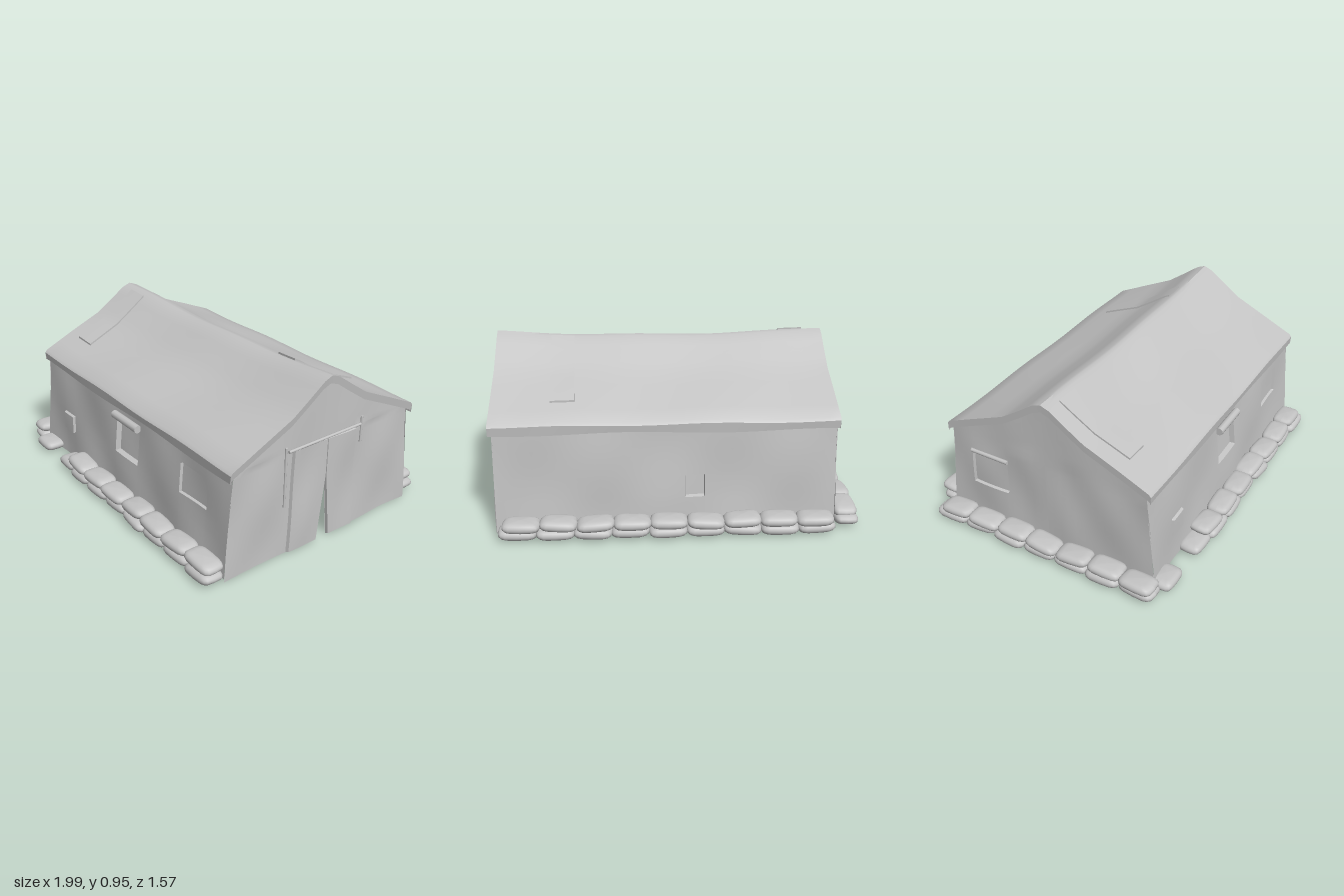
import * as THREE from 'three';
import { toCreasedNormals } from 'three/addons/utils/BufferGeometryUtils.js';

const canvas = new THREE.MeshStandardMaterial({ color: 0xc4c4c4, side: THREE.DoubleSide });
canvas.name = 'grey canvas';

const LEFT = -0.86, RIGHT = 0.968, HALF = 0.605;
const lerp = THREE.MathUtils.lerp;
const range = (a, b, n) => Array.from({ length: n + 1 }, (_, i) => lerp(a, b, i / n));

// Cloth sheet: fn(u, v) gives a point for every pair of grid values
function sheet(name, us, vs, fn, crease = 0.6) {
  const pos = [], idx = [], n = vs.length;
  us.forEach((u, i) => vs.forEach((v, j) => {
    pos.push(...fn(u, v, i, j));
    if (i && j) {
      const d = i * n + j, c = d - 1, b = d - n, a = b - 1;
      idx.push(a, c, d, a, d, b);
    }
  }));
  const g = new THREE.BufferGeometry();
  g.setAttribute('position', new THREE.Float32BufferAttribute(pos, 3));
  g.setIndex(idx);
  const mesh = new THREE.Mesh(toCreasedNormals(g, crease), canvas);
  mesh.name = name;
  return mesh;
}

// Roof section from ridge to eave, with a sagging ridge
const section = [[0, 0.93], [0.05, 0.912], [0.14, 0.85], [0.25, 0.778], [0.45, 0.695], [0.62, 0.622]];
function roofY(x, z) {
  const a = Math.min(Math.abs(z), 0.62);
  const k = Math.max(1, section.findIndex(p => p[0] >= a));
  const [p, q] = [section[k - 1], section[k]];
  const y = lerp(p[1], q[1], (a - p[0]) / (q[0] - p[0]));
  return y + (1 - a / 0.63) * (0.032 * x * x - 0.015) + 0.004 * Math.sin(x * 8 + z * 5);
}

// Walls lean outwards to the ground
const sideZ = y => lerp(0.655, HALF, Math.min(y / 0.6, 1));
const wrinkle = (u, y) => 0.008 * Math.sin(u * 9 + 1) * Math.sin(y * 9 + u * 3)
  + 0.012 * Math.sin(u * 13) * Math.max(0, 0.25 - y);

// Panels are [u0, u1, y0, y1, depth]; grid lines double up at their edges
const offset = (panels, u, y) => {
  const p = panels.find(r => u > r[0] && u < r[1] && y > r[2] && y < r[3]);
  return p ? p[4] : 0;
};
const lines = (base, panels, k) => [...base,
  ...panels.flatMap(r => [r[k] - 0.003, r[k] + 0.003, r[k + 1] - 0.003, r[k + 1] + 0.003])].sort((a, b) => a - b);

function sideWall(name, sign, panels) {
  const xs = lines(range(LEFT, RIGHT, 36), panels, 0);
  if (sign < 0) xs.reverse();
  return sheet(name, xs, lines(range(0.012, 0.605, 12), panels, 2), (x, y) =>
    [x, y, sign * (sideZ(y) + wrinkle(x, y) + offset(panels, x, y))]);
}

// Half of a gable wall; slit opens the inner edge at the ground
function gableHalf(name, end, side, panels, slit) {
  const x0 = end > 0 ? RIGHT : LEFT;
  const zs = lines(range(0, HALF, 14), panels, 0);
  if (end * side > 0) zs.reverse();
  const ys = lines(range(0.012, 0.605, 14), panels, 2);
  return sheet(name, zs, [...ys, 0.7, 0.8, 0.9, 1], (a, v, i, j) => {
    const top = roofY(x0, side * a) - 0.014;
    const y = j < ys.length ? v : lerp(0.605, top, (j - ys.length + 1) / 4);
    const open = slit * Math.max(0, 1 - y / 0.38) * Math.max(0, 1 - a / 0.2);
    const z = a * sideZ(y) / HALF + open;
    const fold = Math.min(1, a * 8) * wrinkle(side * a * 1.3 + 2, y) * (y < 0.6 ? 1 : 0.4);
    return [x0 + end * (fold + offset(panels, a, v)), y, side * z];
  });
}

// Squashed pillow with squared corners and a flat seam
function sandbag(length, depth, seed) {
  const g = new THREE.SphereGeometry(1, 16, 10), p = g.attributes.position;
  const sq = (v, e) => Math.sign(v) * Math.abs(v) ** e;
  for (let i = 0; i < p.count; i++) {
    const x = p.getX(i), y = p.getY(i), z = p.getZ(i);
    p.setXYZ(i, sq(x, 0.5) * length / 2, y * 0.031 + 0.005 * x * Math.sin(seed * 5 + z), sq(z, 0.5) * depth / 2);
  }
  g.computeVertexNormals();
  const m = new THREE.Mesh(g, canvas);
  m.name = 'sandbag';
  return m;
}

export function createModel() {
  const model = new THREE.Group();

  model.add(
    sideWall('frontWall', 1, [[-0.06, 0.16, 0.28, 0.5, -0.03], [0.56, 0.78, 0.31, 0.48, -0.014], [-0.64, -0.53, 0.19, 0.3, 0.014]]),
    sideWall('backWall', -1, [[-0.15, -0.05, 0.19, 0.31, -0.02]]),
    gableHalf('doorWallFront', 1, 1, [[0, 0.225, 0, 0.6, 0.016]], 0.045),
    gableHalf('doorWallBack', 1, -1, [[0, 0.2, 0, 0.6, 0.016]], 0.04),
    gableHalf('rearGableFront', -1, 1, [], 0),
    gableHalf('rearGableBack', -1, -1, [[0.25, 0.47, 0.26, 0.48, -0.015]], 0),
  );

  // Roof sheet with hems dropping over the eaves and both gables
  const xs = [-0.868, ...range(-0.87, 0.985, 30), 0.978];
  const vs = [0.628, 0.632, 0.62, 0.53, 0.45, 0.35, 0.25, 0.19, 0.14, 0.09, 0.05, 0.02];
  const rows = [...vs, 0, ...vs.map(v => -v).reverse()];
  model.add(sheet('roof', xs, rows, (x, z, i, j) => {
    const hem = j === 0 || j === rows.length - 1;
    const edge = j === 1 || j === rows.length - 2;
    let y = roofY(x, z);
    if (edge) y -= 0.015;
    if (hem) y = 0.56 + 0.007 * Math.sin(x * 6);
    if ((i === 0 || i === xs.length - 1) && !hem) y -= 0.045;
    return [x, y, z];
  }, 0.7));

  // Repair strips on the roof slopes
  for (const [x0, x1, z0, z1] of [[-0.76, -0.62, 0.45, 0.05], [0.55, 0.68, -0.03, -0.48]]) {
    const us = range(x0, x1, 4), ws = range(z0, z1, 10);
    model.add(sheet('roofPatch', [x0, ...us, x1], [z0, ...ws, z1], (x, z, i, j) => {
      const rim = i === 0 || i === 6 || j === 0 || j === 12;
      return [x + (z - z0) * 0.03, roofY(x, z) + (rim ? -0.005 : 0.011), z];
    }));
  }

  // Rolled blinds over the windows and the door seam ties
  const roll = (name, r, len, x, y, z, axis) => {
    const m = new THREE.Mesh(new THREE.CylinderGeometry(r, r, len, 10), canvas);
    m.name = name;
    m.rotation[axis === 'x' ? 'z' : 'x'] = axis === 'y' ? 0 : Math.PI / 2;
    m.position.set(x, y, z);
    model.add(m);
  };
  roll('windowBlind', 0.023, 0.24, 0.05, 0.505, 0.625, 'x');
  roll('rearBlind', 0.012, 0.24, -0.866, 0.48, -0.365, 'z');
  roll('doorTie', 0.007, 0.34, 0.972, 0.46, 0.275, 'y');
  roll('doorTie', 0.007, 0.15, 0.972, 0.57, -0.25, 'y');
  roll('doorHeader', 0.008, 0.5, 0.976, 0.603, 0.01, 'z');

  // Two courses of sandbags around three sides
  const bags = new THREE.Group();
  bags.name = 'sandbags';
  let seed = 0;
  const row = (count, start, step, place, turned) => {
    for (let i = 0; i < count; i++) {
      const s = ++seed, bag = sandbag(step * 1.04, 0.135, s);
      const out = 0.006 * Math.sin(s * 2.3);
      const [x, y, z] = place(start + i * step, out);
      bag.position.set(x, y, z);
      bag.rotation.y = (turned ? Math.PI / 2 : 0) + 0.06 * Math.sin(s * 1.7);
      bag.rotation.z = 0.05 * Math.sin(s * 3.1);
      bags.add(bag);
    }
  };
  row(9, -0.75, 0.2, (u, o) => [u, 0.037, -0.71 + o]);
  row(9, -0.74, 0.196, (u, o) => [u, 0.084, -0.715 + o]);
  row(7, -0.6, 0.2, (u, o) => [-0.925 + o, 0.037, u], true);
  row(7, -0.57, 0.195, (u, o) => [-0.925 + o, 0.08, u], true);
  row(7, -0.29, 0.195, (u, o) => [u, 0.037, 0.71 + o]);
  row(7, -0.34, 0.2, (u, o) => [u, 0.084, 0.705 + o]);
  row(1, -0.47, 0.17, (u, o) => [u, 0.04, 0.69 + o]);
  row(1, -0.785, 0.17, u => [u, 0.035, 0.685]);
  model.add(bags);

  return model;
}
